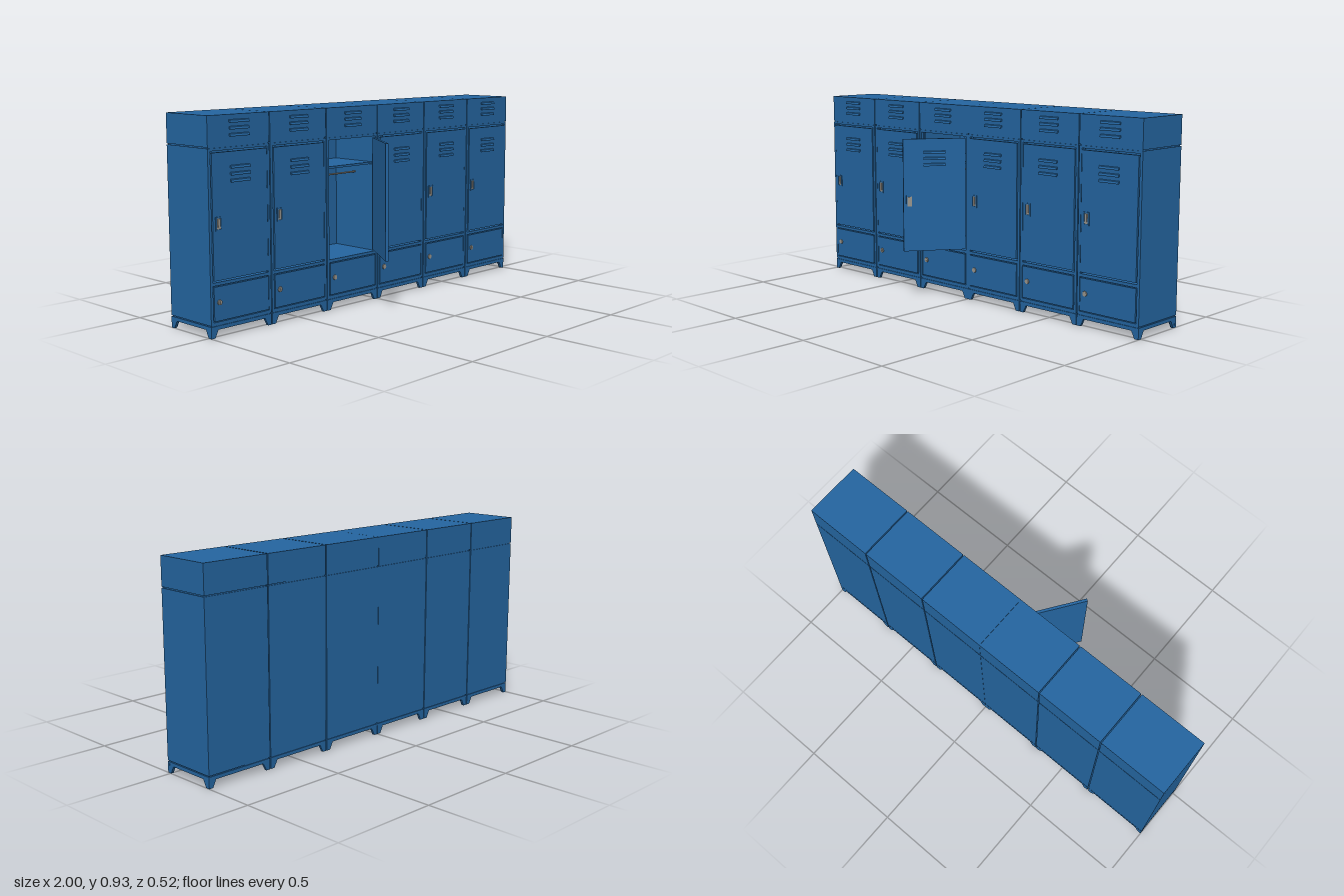
import * as THREE from 'three';

const blue = new THREE.MeshStandardMaterial({ color: 0x2465a0 });
blue.name = 'bluePaint';
const steel = new THREE.MeshStandardMaterial({ color: 0x9a958c });
steel.name = 'steel';

const W = 0.3298, H = W / 2;            // locker width
const FRONT = 0.017, BACK = -0.26;      // cabinet depth range
const MID = (FRONT + BACK) / 2, DEPTH = FRONT - BACK;
const DOOR_W = 0.296, DOOR_LOW = 0.243, DOOR_TOP = 0.777;

function add(parent, name, geometry, material, x = 0, y = 0, z = 0) {
  const mesh = new THREE.Mesh(geometry, material);
  mesh.name = name;
  mesh.position.set(x, y, z);
  parent.add(mesh);
  return mesh;
}

// Box given by its ranges along each axis
function box(parent, name, x0, x1, y0, y1, z0, z1, material = blue) {
  return add(parent, name, new THREE.BoxGeometry(x1 - x0, y1 - y0, z1 - z0), material,
    (x0 + x1) / 2, (y0 + y1) / 2, (z0 + z1) / 2);
}

function extrude(points, depth, holes = []) {
  const toVectors = list => list.map(p => new THREE.Vector2(p[0], p[1]));
  const shape = new THREE.Shape(toVectors(points));
  for (const h of holes) shape.holes.push(new THREE.Path(toVectors(h)));
  return new THREE.ExtrudeGeometry(shape, { depth, bevelEnabled: false });
}

const rect = (x0, x1, y0, y1) => [[x0, y0], [x1, y0], [x1, y1], [x0, y1]];

// Three hooded louvres, 0.1 wide, protruding towards +z
const louvreGeometry = extrude(
  [[0, -0.004], [0.008, -0.007], [0.0085, -0.003], [0.006, 0.003], [0, 0.006]], 0.104);
louvreGeometry.translate(0, 0, -0.052);
louvreGeometry.rotateY(-Math.PI / 2);
louvreGeometry.scale(-1, 1, -1);        // half turn, so the hood faces forward
louvreGeometry.rotateY(Math.PI);

function louvres(parent, x, heights, z) {
  for (const y of heights) add(parent, 'louvre', louvreGeometry, blue, x, y, z);
}

// Door modelled from its hinge edge at x = 0 towards -x
function door() {
  const g = new THREE.Group();
  g.name = 'door';
  box(g, 'doorPanel', -DOOR_W, 0, DOOR_LOW, DOOR_TOP, -0.01, 0.003);
  louvres(g, -DOOR_W / 2, [0.655, 0.684, 0.713], 0.003);
  // recessed latch with a raised rim
  add(g, 'handleRim', extrude(rect(-0.283, -0.25, 0.453, 0.511), 0.004,
    [rect(-0.277, -0.256, 0.459, 0.505)]), blue, 0, 0, 0.003);
  box(g, 'handleCup', -0.277, -0.256, 0.459, 0.505, 0.002, 0.004, steel);
  box(g, 'latch', -0.272, -0.261, 0.468, 0.503, 0.004, 0.008, steel);
  return g;
}

// Skirt panel with a leg at each end
function skirt(half) {
  const g = extrude([[-half, 0], [-half + 0.02, 0], [-half + 0.037, 0.034], [half - 0.037, 0.034],
    [half - 0.02, 0], [half, 0], [half, 0.05], [-half, 0.05]], 0.012);
  g.translate(0, 0, -0.012);
  return g;
}

function base(parent) {
  const g = new THREE.Group();
  g.name = 'base';
  add(g, 'frontSkirt', skirt(H), blue, 0, 0, FRONT);
  add(g, 'backSkirt', skirt(H), blue, 0, 0, BACK).rotation.y = Math.PI;
  for (const s of [-1, 1]) {
    add(g, 'sideSkirt', skirt(DEPTH / 2 - 0.0005), blue, s * (H - 0.0003), 0, MID).rotation.y = s * Math.PI / 2;
  }
  box(g, 'bottomPanel', -H + 0.004, H - 0.004, 0.044, 0.06, BACK + 0.004, FRONT - 0.004);
  parent.add(g);
}

function locker(x, open) {
  const g = new THREE.Group();
  g.name = 'locker';
  g.position.x = x;
  base(g);

  // Hollow cabinet
  const t = 0.008, low = 0.055, top = 0.795;
  for (const s of [-1, 1]) {
    box(g, 'sideWall', s > 0 ? H - t : -H, s > 0 ? H : -H + t, low, top, BACK, FRONT - 0.012);
  }
  box(g, 'backWall', -H + t, H - t, low, top, BACK, BACK + t);
  box(g, 'cabinetFloor', -H + t, H - t, low, low + t, BACK + t, FRONT - 0.012);
  box(g, 'compartmentFloor', -H + t, H - t, 0.224, 0.235, BACK + t, FRONT - 0.012);
  box(g, 'ceiling', -H + t, H - t, top - t, top, BACK + t, FRONT - 0.012);
  add(g, 'frontFrame', extrude(rect(-H, H, low, top), 0.012, [
    rect(-0.152, 0.152, 0.236, 0.784), rect(-0.152, 0.152, 0.067, 0.222)]), blue, 0, 0, FRONT - 0.012);
  box(g, 'doorStop', -0.156, -0.148, 0.236, 0.784, FRONT - 0.024, FRONT - 0.016);

  // Shelf and hanging rail
  box(g, 'shelf', -H + t, H - t, 0.65, 0.66, BACK + t, -0.01);
  const rail = add(g, 'hangingRail', new THREE.CylinderGeometry(0.004, 0.004, W - 2 * t, 10), steel, 0, 0.605, MID);
  rail.rotation.z = Math.PI / 2;

  // Top box above a shadow gap
  box(g, 'topSeam', -H + 0.004, H - 0.004, 0.79, 0.805, BACK + 0.004, FRONT - 0.004);
  box(g, 'topBox', -H, H, 0.8, 0.93, BACK, FRONT);
  louvres(g, 0, [0.845, 0.874, 0.902], FRONT);

  // Drawer with a round lock
  box(g, 'drawerFront', -0.148, 0.148, 0.071, 0.218, FRONT - 0.012, FRONT + 0.002);
  const lock = add(g, 'drawerLock', new THREE.CylinderGeometry(0.011, 0.012, 0.005, 20), steel, -0.12, 0.15, FRONT + 0.004);
  lock.rotation.x = Math.PI / 2;
  box(g, 'keySlot', -0.1215, -0.1185, 0.145, 0.155, FRONT + 0.006, FRONT + 0.0075, steel);

  const d = door();
  d.position.set(DOOR_W / 2, 0, FRONT);
  if (open) d.rotation.y = THREE.MathUtils.degToRad(55);
  g.add(d);
  return g;
}

export function createModel() {
  const model = new THREE.Group();
  model.name = 'lockerRow';
  // Mirrored positions, with a hairline gap at the centre
  [0, 1, 2].forEach(i => {
    const x = 0.0005 + H + i * (W + 0.005);
    model.add(locker(x, false), locker(-x, i === 0));
  });
  return model;
}
